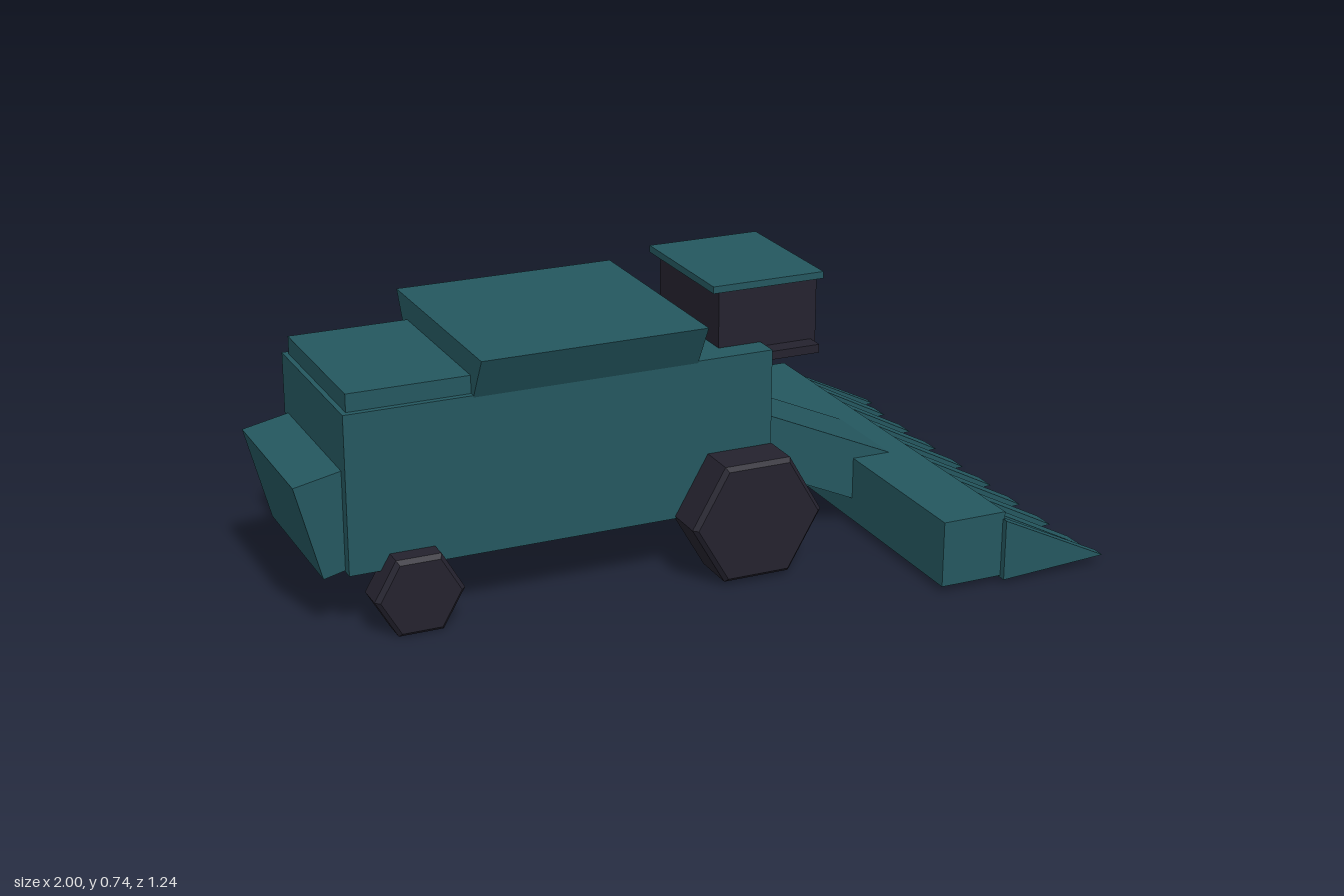
import * as THREE from 'three';

export function createModel() {
  const model = new THREE.Group();
  model.name = 'combineHarvester';
  const teal = new THREE.MeshStandardMaterial({ color: 0x24575f });
  teal.name = 'teal paint';
  const dark = new THREE.MeshStandardMaterial({ color: 0x24222e });
  dark.name = 'dark rubber and glass';

  const add = (name, geometry, material) => {
    const mesh = new THREE.Mesh(geometry, material);
    mesh.name = name;
    model.add(mesh);
    return mesh;
  };

  // Box given by its x and y ranges, symmetric about z = 0
  const box = (name, x0, x1, y0, y1, halfZ, material) => add(name,
    new THREE.BoxGeometry(x1 - x0, y1 - y0, halfZ * 2)
      .translate((x0 + x1) / 2, (y0 + y1) / 2, 0), material);

  // Side profile (x, y) extruded along z, centred on z = 0
  const prism = (points, width) => {
    const shape = new THREE.Shape(points.map(([x, y]) => new THREE.Vector2(x, y)));
    return new THREE.ExtrudeGeometry(shape, { depth: width, bevelEnabled: false })
      .translate(0, 0, -width / 2);
  };

  // Body
  box('body', -0.88, 0.24, 0.16, 0.57, 0.242, teal);
  box('chassis', -0.845, 0.2, 0.148, 0.17, 0.2, dark);
  box('engineHood', -0.867, -0.5, 0.56, 0.616, 0.226, teal);

  // Grain tank flaring outwards to the top
  add('grainTank', prism([[-0.242, 0.565], [0.242, 0.565], [0.302, 0.675], [-0.302, 0.675]], 0.59)
    .rotateY(Math.PI / 2).translate(-0.26, 0, 0), teal);

  // Straw chopper at the rear
  add('strawChopper', prism([[-0.935, 0.15], [-0.87, 0.166], [-0.87, 0.422], [-1, 0.395]], 0.424), teal);

  // Cab
  box('cabFloor', 0.12, 0.382, 0.536, 0.558, 0.222, dark);
  box('cab', 0.123, 0.395, 0.55, 0.722, 0.175, dark);
  box('cabRoof', 0.1, 0.406, 0.72, 0.738, 0.191, teal);

  // Feeder house sloping down into the header
  add('feederHouse', prism([[0.25, 0.367], [0.66, 0.184], [0.6, 0.05], [0.19, 0.234]], 0.266), teal);
  box('header', 0.54, 0.714, 0.017, 0.19, 0.604, teal);

  // Crop dividers along the header
  const divider = (name, tipX, width, z) => add(name,
    prism([[0.708, 0.012], [tipX, 0.028], [0.708, 0.172]], width), teal).position.z = z;
  for (let i = 0; i < 8; i++) divider('cropDivider' + (i + 1), 0.985, 0.063, (i - 3.5) * 0.1476);
  for (const side of [-1, 1]) divider(side > 0 ? 'rightEndDivider' : 'leftEndDivider', 1, 0.037, side * 0.603);

  // Six-sided wheels with chamfered rims
  const wheel = (name, x, y, z, radius, width) => {
    const h = width / 2, c = 0.012;
    const profile = [[0, -h], [radius - c, -h], [radius, -h + c], [radius, h - c], [radius - c, h], [0, h]]
      .map(([r, a]) => new THREE.Vector2(r, a));
    const geometry = new THREE.LatheGeometry(profile, 6, Math.PI / 2).toNonIndexed();
    geometry.computeVertexNormals();
    add(name, geometry.rotateX(Math.PI / 2), dark).position.set(x, y, z);
  };
  for (const side of [-1, 1]) {
    const label = side > 0 ? 'Right' : 'Left';
    wheel('driveWheel' + label, 0.153, 0.166, side * 0.283, 0.178, 0.144);
    wheel('steeringWheel' + label, -0.72, 0.101, side * 0.252, 0.115, 0.094);
  }

  return model;
}
